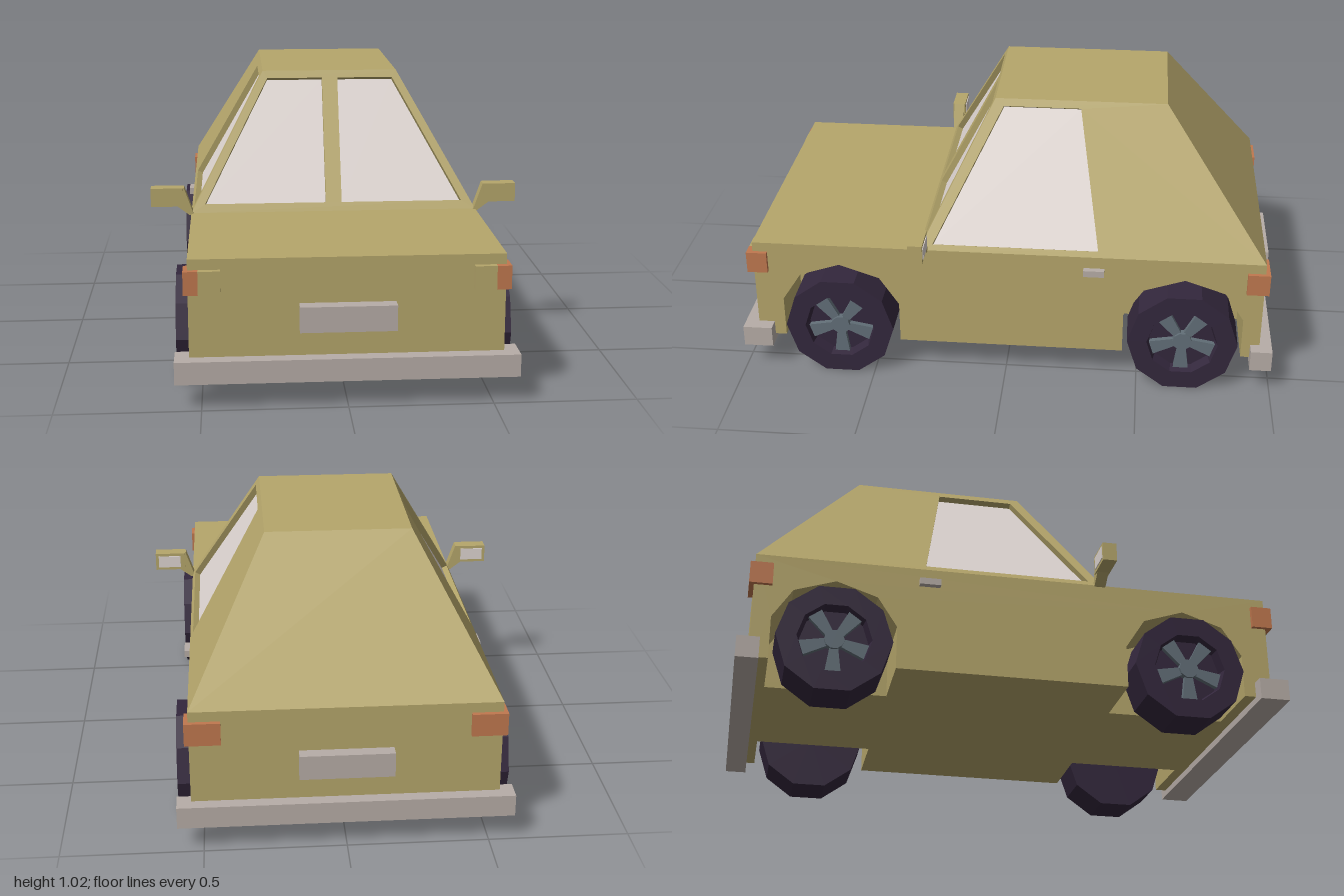
import * as THREE from 'three';

const mat = (name, color) => {
  const m = new THREE.MeshStandardMaterial({ color, flatShading: true });
  m.name = name;
  return m;
};
const V = (x, y, z) => new THREE.Vector3(x, y, z);

export function createModel() {
  const paint = mat('olive paint', 0xb5a66b);
  const chrome = mat('pale grey trim', 0xb7ada7);
  const glass = mat('window glass', 0xded5d1);
  const rubber = mat('dark rubber', 0x33273c);
  const alloy = mat('blue grey alloy', 0x626f78);
  const amber = mat('amber lamp', 0xc0784f);

  const car = new THREE.Group();
  car.name = 'car';
  const add = (name, geo, material, parent = car) => {
    const m = new THREE.Mesh(geo, material);
    m.name = name;
    parent.add(m);
    return m;
  };
  // Box given by its minimum and maximum on each axis
  const box = (name, material, x0, x1, y0, y1, z0, z1) =>
    add(name, new THREE.BoxGeometry(x1 - x0, y1 - y0, z1 - z0)
      .translate((x0 + x1) / 2, (y0 + y1) / 2, (z0 + z1) / 2), material);
  const shapeOf = pts => new THREE.Shape(pts.map(p => new THREE.Vector2(p[0], p[1])));
  const extrude = (shape, depth) =>
    new THREE.ExtrudeGeometry(shape, { depth, bevelEnabled: false });

  // Lower body: middle block and two side slabs with wheel arches
  const front = 0.95, back = -0.955, floor = 0.12, belt = 0.52, half = 0.54, well = 0.28;
  const axles = [0.625, -0.665];
  box('bodyCore', paint, -well, well, floor, belt, back, front);
  const arch = [[-0.222, floor], [-0.222, 0.28], [-0.15, 0.39], [0, 0.44],
    [0.15, 0.39], [0.222, 0.28], [0.222, floor]];
  const profile = [[-front, belt], [-front, floor]];
  for (const z of axles) for (const [a, y] of arch) profile.push([a - z, y]);
  profile.push([-back, floor], [-back, belt]);
  for (const s of [1, -1]) {
    const slab = extrude(shapeOf(profile), half - well).rotateY(Math.PI / 2);
    slab.translate(s > 0 ? well : -half, 0, 0);
    add(s > 0 ? 'leftBodySide' : 'rightBodySide', slab, paint);
  }

  // Flat cabin panel with inset windows; corners run anticlockwise from outside
  const thick = 0.025;
  const panel = (name, corners, holes = []) => {
    const u = corners[1].clone().sub(corners[0]).normalize();
    const n = u.clone().cross(corners[3].clone().sub(corners[0])).normalize();
    const v = n.clone().cross(u);
    const place = new THREE.Matrix4().makeBasis(u, v, n).setPosition(corners[0]);
    const flat = pts => shapeOf(pts.map(p => {
      const d = p.clone().sub(corners[0]);
      return [d.dot(u), d.dot(v)];
    }));
    const shape = flat(corners);
    for (const h of holes) {
      const pane = flat(h);
      shape.holes.push(pane);
      add(name + 'Glass', new THREE.ShapeGeometry(pane)
        .translate(0, 0, -thick + 0.002).applyMatrix4(place), glass);
    }
    add(name, extrude(shape, thick).translate(0, 0, -thick).applyMatrix4(place), paint);
  };

  // Cabin
  const roof = 1.02, rx = 0.26, z0 = 0.32, z1 = 0.06, z2 = -0.575;
  const rise = y => (y - belt) / (roof - belt);
  const onFront = (x, y) => V(x, y, z0 + (z1 - z0) * rise(y));
  const onSide = (s, z, y) => V(s * (half + (rx - half) * rise(y)), y, z);
  const screen = s => [[0.03, 0.55], [0.488, 0.55], [0.243, 0.993], [0.03, 0.993]]
    .map(([x, y]) => onFront(s * x, y));
  panel('windscreenFrame', [V(-half, belt, z0), V(half, belt, z0), V(rx, roof, z1), V(-rx, roof, z1)],
    [screen(1), screen(-1)]);
  panel('rearHatch', [V(half, belt, back), V(-half, belt, back), V(-rx, roof, z2), V(rx, roof, z2)]);
  panel('roof', [V(-rx, roof, z1), V(rx, roof, z1), V(rx, roof, z2), V(-rx, roof, z2)]);
  for (const s of [1, -1]) {
    const c = [V(s * half, belt, z0), V(s * half, belt, back), V(s * rx, roof, z2), V(s * rx, roof, z1)];
    const win = [[0.27, 0.54], [-0.342, 0.54], [-0.258, 0.995], [0.028, 0.995]]
      .map(([z, y]) => onSide(s, z, y));
    panel(s > 0 ? 'leftCabinSide' : 'rightCabinSide', s > 0 ? c : [c[1], c[0], c[3], c[2]], [win]);
  }

  // Bumpers and number plates
  box('frontBumper', chrome, -0.59, 0.59, 0.095, 0.175, 0.89, 1);
  box('rearBumper', chrome, -0.59, 0.59, 0.095, 0.175, -1, -0.92);
  box('frontPlate', chrome, -0.165, 0.165, 0.27, 0.36, 0.94, 1);
  box('rearPlate', chrome, -0.165, 0.165, 0.27, 0.36, -1, -0.94);

  // Lamps, door handles and mirrors on both sides
  for (const s of [1, -1]) {
    const side = s > 0 ? 'left' : 'right';
    const sideBox = (name, m, a, b, ...rest) =>
      box(side + name, m, Math.min(s * a, s * b), Math.max(s * a, s * b), ...rest);
    sideBox('HeadlampInner', paint, 0.43, 0.505, 0.4, 0.483, 0.895, 0.972);
    sideBox('Indicator', amber, 0.505, 0.555, 0.4, 0.483, 0.895, 0.972);
    sideBox('TailLamp', amber, 0.43, 0.555, 0.4, 0.483, -0.972, -0.89);
    sideBox('DoorHandle', chrome, 0.53, 0.563, 0.45, 0.475, -0.367, -0.29);
    sideBox('MirrorHousing', paint, 0.57, 0.69, 0.55, 0.62, 0.283, 0.335);
    sideBox('MirrorGlass', glass, 0.588, 0.678, 0.561, 0.609, 0.28, 0.286);
    const stem = [[0.53, 0.515], [0.546, 0.515], [0.592, 0.55], [0.572, 0.62], [0.566, 0.62], [0.535, 0.53]]
      .map(([x, y]) => [s * x, y]);
    add(side + 'MirrorStem', extrude(shapeOf(stem), 0.042).translate(0, 0, 0.288), paint);
  }

  // Ten-sided wheels with a dished face, hub and five flared spokes
  const tyreProfile = [[0, -0.085], [0.205, -0.085], [0.205, 0.085], [0.132, 0.085], [0.122, 0.045], [0, 0.045]]
    .map(p => new THREE.Vector2(...p));
  const tyreGeo = new THREE.LatheGeometry(tyreProfile, 10).rotateZ(-Math.PI / 2);
  const hubGeo = new THREE.CylinderGeometry(0.036, 0.036, 0.03, 10).rotateZ(-Math.PI / 2).translate(0.058, 0, 0);
  const spokeGeo = extrude(shapeOf([[-0.014, -0.02], [-0.028, -0.12], [0.028, -0.12], [0.014, -0.02]]), 0.022)
    .rotateY(Math.PI / 2).translate(0.042, 0, 0);
  axles.forEach((z, i) => {
    for (const s of [1, -1]) {
      const wheel = new THREE.Group();
      wheel.name = (i ? 'rear' : 'front') + (s > 0 ? 'Left' : 'Right') + 'Wheel';
      add('tyre', tyreGeo, rubber, wheel);
      add('hub', hubGeo, alloy, wheel);
      for (let k = 0; k < 5; k++) add('spoke', spokeGeo, alloy, wheel).rotation.x = k * Math.PI * 0.4;
      wheel.position.set(s * 0.503, 0.196, z);
      if (s < 0) wheel.rotation.y = Math.PI;
      car.add(wheel);
    }
  });
  return car;
}
